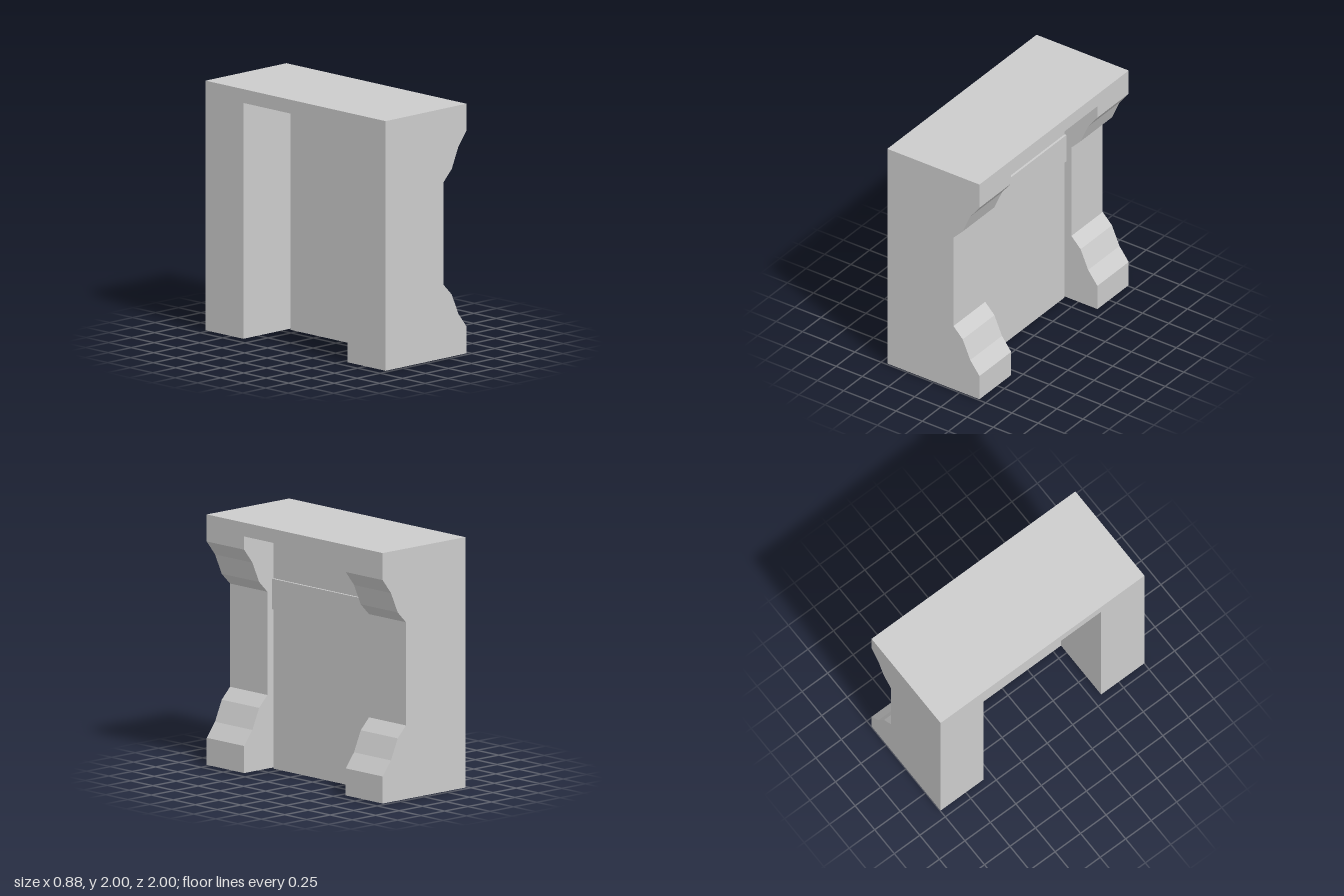
import * as THREE from 'three';

const material = new THREE.MeshStandardMaterial({ color: 0xcccccc, flatShading: true });

// Opening between the pillars, along z
const OPEN_FRONT = 0.575, OPEN_BACK = -0.58;

function addBox(group, name, [x0, x1], [y0, y1], [z0, z1]) {
  const mesh = new THREE.Mesh(new THREE.BoxGeometry(x1 - x0, y1 - y0, z1 - z0), material);
  mesh.position.set((x0 + x1) / 2, (y0 + y1) / 2, (z0 + z1) / 2);
  mesh.name = name;
  group.add(mesh);
}

// Pillar cross-section: flat back, stepped mouldings at foot and head
function pillarShape() {
  const foot = [[0.44, 0.225], [0.352, 0.34], [0.28, 0.505], [0.192, 0.595]];
  const bottom = 0.01, top = 2;
  const head = foot.map(([x, y]) => [x, top + bottom - y]).reverse();
  const outline = [[-0.44, bottom], [0.44, bottom], ...foot, ...head, [0.44, top], [-0.44, top]];
  return new THREE.Shape(outline.map(([x, y]) => new THREE.Vector2(x, y)));
}

function addPillar(group, name, z0, z1) {
  const geometry = new THREE.ExtrudeGeometry(pillarShape(), { depth: z1 - z0, bevelEnabled: false });
  const mesh = new THREE.Mesh(geometry, material);
  mesh.position.z = z0;
  mesh.name = name;
  group.add(mesh);
}

export function createModel() {
  const model = new THREE.Group();
  model.name = 'doorway';
  const span = [OPEN_BACK, OPEN_FRONT];

  // Frame
  addPillar(model, 'frontPillar', OPEN_FRONT, 1);
  addPillar(model, 'backPillar', -1, OPEN_BACK);
  addBox(model, 'lintel', [-0.44, 0.44], [1.89, 2], span);

  // Door set inside the opening, with a raised band across it
  addBox(model, 'doorPanel', [0.074, 0.127], [0, 1.89], span);
  addBox(model, 'doorBand', [0.127, 0.145], [1.27, 1.513], span);

  return model;
}
